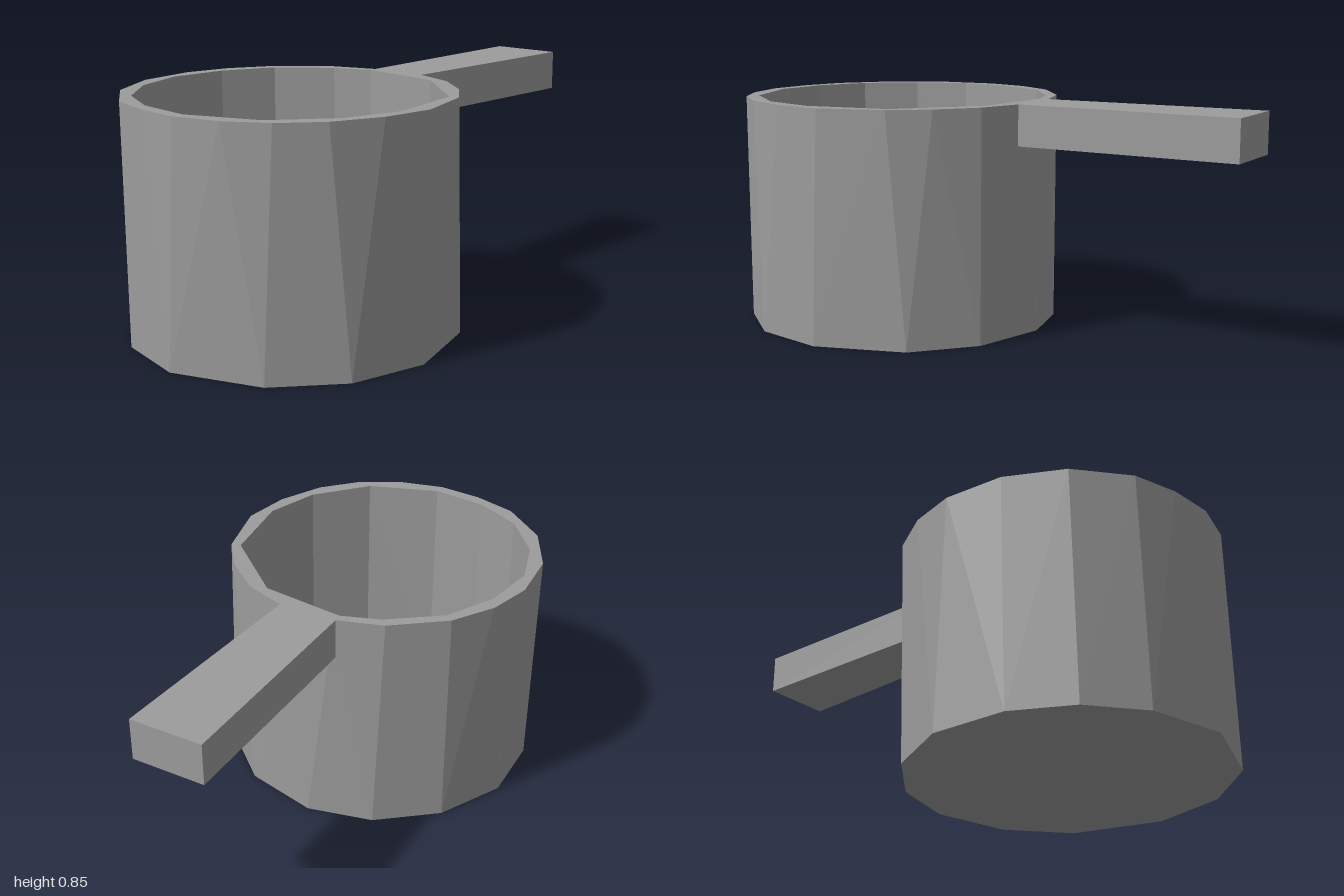
import * as THREE from 'three';

const CZ = 0.41; // pot axis
const HEIGHT = 0.85;
const FLOOR = 0.06;

const metal = new THREE.MeshStandardMaterial({ color: 0x9c9c9c });
metal.name = 'grey metal';

// Ring of points at height y, sorted by angle around the pot axis
function ring(y, points) {
  return points
    .map(([x, z]) => ({ p: [x, y, z], a: Math.atan2(x, z - CZ) }))
    .sort((m, n) => m.a - n.a);
}

// Fill the band between two rings with triangles; a one-point ring makes a cap
function stitch(lower, upper, out) {
  const steps = (r) => (r.length > 1 ? r.length : 0);
  const at = (r, i) => r[i % r.length];
  const angle = (r, i) => at(r, i).a + (i >= r.length ? Math.PI * 2 : 0);
  const middle = (r, i) => (i < steps(r) ? angle(r, i) + angle(r, i + 1) : Infinity);
  let i = 0, j = 0;
  while (i < steps(lower) || j < steps(upper)) {
    const low = at(lower, i).p, up = at(upper, j).p;
    if (middle(lower, i) <= middle(upper, j)) out.push(...low, ...at(lower, ++i).p, ...up);
    else out.push(...low, ...at(upper, ++j).p, ...up);
  }
}

function facetedMesh(name, positions) {
  const geometry = new THREE.BufferGeometry();
  geometry.setAttribute('position', new THREE.Float32BufferAttribute(positions, 3));
  geometry.computeVertexNormals();
  const mesh = new THREE.Mesh(geometry, metal);
  mesh.name = name;
  return mesh;
}

export function createModel() {
  const model = new THREE.Group();
  model.name = 'saucepan';

  // Irregular outlines as [x, z]
  const base = [
    [0.01, 1], [0.335, 0.89], [0.52, 0.68], [0.587, 0.4], [0.485, 0.07], [0.28, -0.11], [-0.005, -0.18],
    [-0.25, -0.12], [-0.455, 0.05], [-0.575, 0.3], [-0.56, 0.58], [-0.45, 0.785], [-0.27, 0.93],
  ];
  const rim = [
    [0.05, 0.99], [0.22, 0.948], [0.365, 0.865], [0.48, 0.735], [0.555, 0.56], [0.58, 0.37], [0.51, 0.13],
    [0.41, 0], [0.27, -0.11], [0.11, -0.165], [-0.11, -0.165], [-0.28, -0.11], [-0.46, 0.035],
    [-0.55, 0.19], [-0.59, 0.36], [-0.567, 0.58], [-0.46, 0.78], [-0.285, 0.925], [-0.12, 0.975],
  ];
  const mouth = [
    [0.05, 0.945], [0.31, 0.85], [0.47, 0.66], [0.53, 0.45], [0.475, 0.14], [0.21, -0.09], [-0.11, -0.13],
    [-0.25, -0.08], [-0.43, 0.06], [-0.52, 0.25], [-0.545, 0.46], [-0.48, 0.66], [-0.34, 0.83], [-0.16, 0.92],
  ];

  // Pot: underside, outer wall, rim, inner wall and floor
  const layers = [
    ring(0, [[0, CZ]]), ring(0, base), ring(HEIGHT, rim),
    ring(HEIGHT, mouth), ring(FLOOR, mouth), ring(FLOOR, [[0, CZ]]),
  ];
  const potPositions = [];
  for (let k = 0; k + 1 < layers.length; k++) stitch(layers[k], layers[k + 1], potPositions);
  model.add(facetedMesh('pot', potPositions));

  // Handle: a bar that widens slightly towards its end
  const bar = new THREE.BoxGeometry(1, 0.15, 1);
  const pos = bar.attributes.position;
  for (let k = 0; k < pos.count; k++) {
    const side = Math.sign(pos.getX(k));
    const far = pos.getZ(k) < 0;
    pos.setX(k, far ? side * 0.135 - 0.005 : side * 0.112 - 0.003);
    pos.setZ(k, far ? -1 : -0.16);
  }
  bar.translate(0, HEIGHT - 0.075, 0);
  bar.computeVertexNormals();
  const handle = new THREE.Mesh(bar, metal);
  handle.name = 'handle';
  model.add(handle);

  return model;
}
